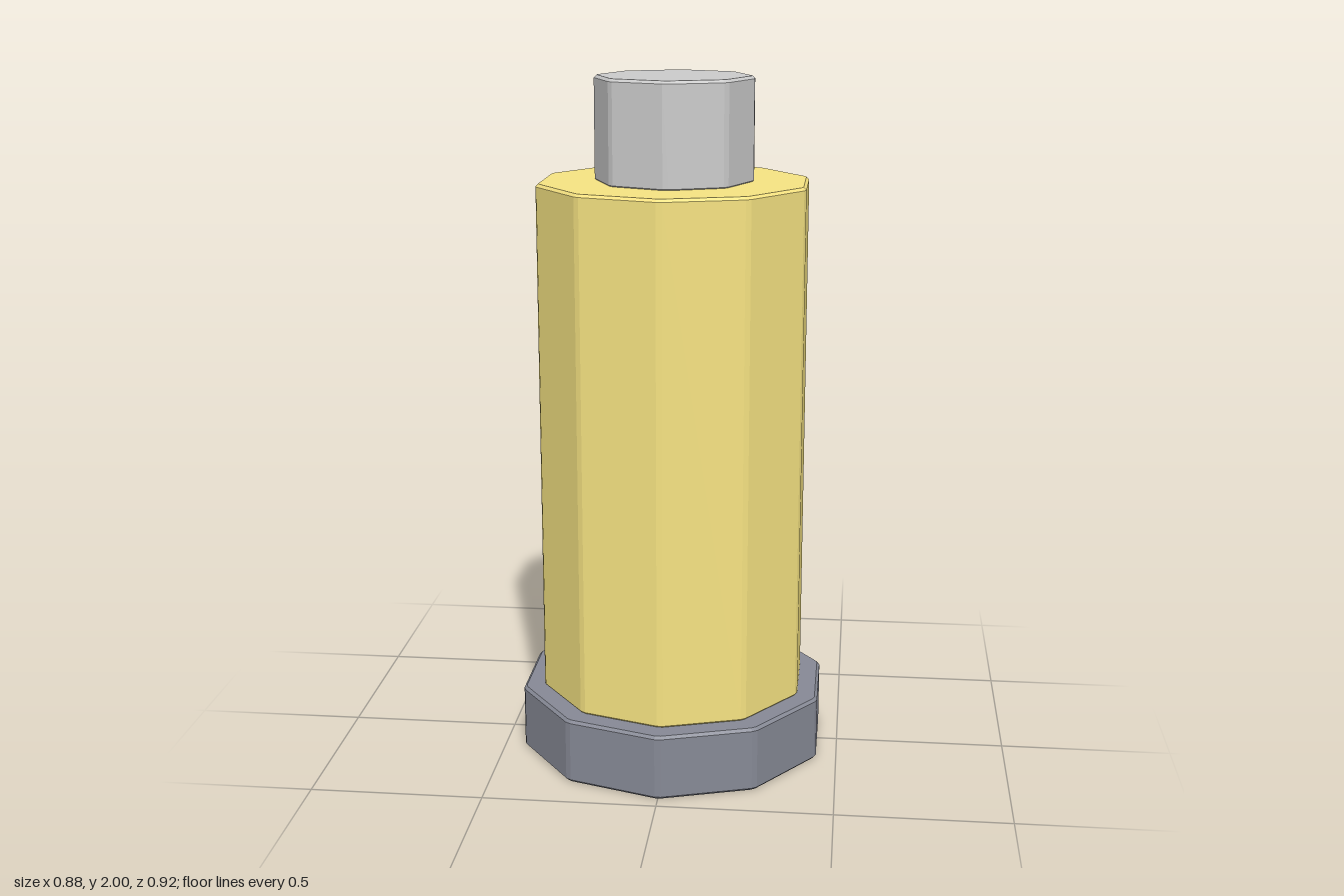
import * as THREE from 'three';

const BEVEL = 0.008;

// Upright prism with narrow bevels on every edge, standing from y0 to y1
function prism(name, sides, radius, y0, y1, color) {
  const r = radius - BEVEL / Math.cos(Math.PI / sides);
  const corner = (i) => {
    const a = Math.PI / 2 + (i * 2 * Math.PI) / sides;
    return new THREE.Vector2(r * Math.cos(a), r * Math.sin(a));
  };
  // Cut each corner slightly along both neighbouring edges
  const points = [];
  for (let i = 0; i < sides; i++) {
    for (const step of [-1, 1]) {
      const p = corner(i);
      const along = corner(i + step).sub(p).setLength(BEVEL);
      points.push(p.add(along));
    }
  }
  const geometry = new THREE.ExtrudeGeometry(new THREE.Shape(points), {
    depth: y1 - y0 - 2 * BEVEL,
    bevelEnabled: true,
    bevelSegments: 1,
    bevelSize: BEVEL,
    bevelThickness: BEVEL,
  });
  geometry.rotateX(-Math.PI / 2);
  geometry.translate(0, y0 + BEVEL, 0);
  const mesh = new THREE.Mesh(geometry, new THREE.MeshStandardMaterial({ color, flatShading: true }));
  mesh.name = name;
  return mesh;
}

export function createModel() {
  const group = new THREE.Group();
  group.name = 'canister';
  group.add(
    prism('base', 10, 0.463, 0, 0.193, 0x868995),
    prism('body', 10, 0.4, 0.19, 1.705, 0xf6e382),
    prism('cap', 8, 0.231, 1.7, 2, 0xcccccc),
  );
  return group;
}
